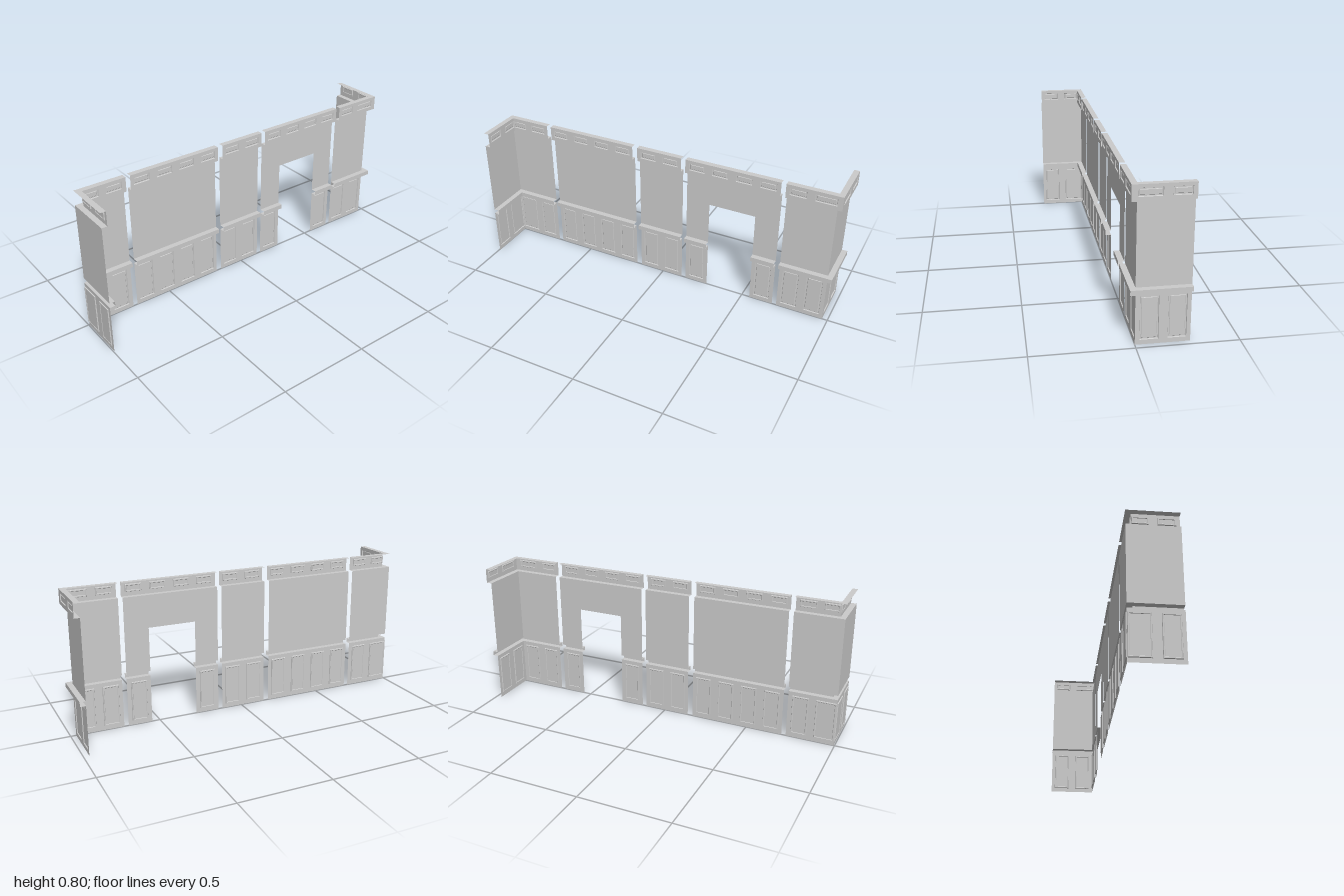
import * as THREE from 'three';

const mat = new THREE.MeshStandardMaterial({ color: 0xcccccc, side: THREE.DoubleSide, flatShading: true });
const DEPTH = 0.03; // projection of chair rail and cornice
const DADO = 0.27, RAIL = 0.295, CORNICE = 0.72, TOP = 0.8;
const DADO_PANEL = [0.024, 0.248], CORNICE_PANEL = [0.742, 0.783];

function add(parent, geo, name, z = 0) {
  const mesh = new THREE.Mesh(geo, mat);
  mesh.name = name;
  mesh.position.z = z;
  parent.add(mesh);
}

const corners = (a, b, y0, y1) =>
  [[a, y0], [b, y0], [b, y1], [a, y1]].map(([x, y]) => new THREE.Vector2(x, y));

// Sunken panel: rectangular rings stepping into a groove and up to the field
function panelGeometry([a, b], [y0, y1]) {
  const steps = [[0, 0], [0.002, -0.005], [0.007, -0.005], [0.009, -0.003]];
  const pos = [], idx = [];
  for (const [inset, z] of steps) {
    for (const p of corners(a + inset, b - inset, y0 + inset, y1 - inset)) pos.push(p.x, p.y, z);
  }
  for (let s = 0; s < steps.length - 1; s++) {
    for (let k = 0; k < 4; k++) {
      const p = s * 4 + k, q = s * 4 + (k + 1) % 4;
      idx.push(p, q, q + 4, p, q + 4, p + 4);
    }
  }
  const f = (steps.length - 1) * 4;
  idx.push(f, f + 1, f + 2, f, f + 2, f + 3);
  const geo = new THREE.BufferGeometry();
  geo.setAttribute('position', new THREE.Float32BufferAttribute(pos, 3));
  geo.setIndex(idx);
  const flat = geo.toNonIndexed();
  flat.computeVertexNormals();
  return flat;
}

// Flat strip pierced by sunken panels
function panelledStrip(parent, name, a, b, y0, y1, panels, py, z) {
  const shape = new THREE.Shape(corners(a, b, y0, y1));
  for (const p of panels) {
    shape.holes.push(new THREE.Path(corners(p[0], p[1], py[0], py[1]).reverse()));
    add(parent, panelGeometry(p, py), name + 'Panel', z);
  }
  add(parent, new THREE.ShapeGeometry(shape), name, z);
}

// Horizontal ledge from the wall line out to the moulding face, mitred at corners
function ledge(parent, name, inner, outer, y, up) {
  const shape = new THREE.Shape([
    new THREE.Vector2(inner[0], 0), new THREE.Vector2(inner[1], 0),
    new THREE.Vector2(outer[1], -DEPTH), new THREE.Vector2(outer[0], -DEPTH)]);
  const geo = new THREE.ShapeGeometry(shape).rotateX(-Math.PI / 2);
  if (!up) {
    const ix = geo.index;
    for (let i = 0; i < ix.count; i += 3) {
      const t = ix.getX(i);
      ix.setX(i, ix.getX(i + 2));
      ix.setX(i + 2, t);
    }
    geo.computeVertexNormals();
  }
  geo.translate(0, y, 0);
  add(parent, geo, name);
}

// Channel moulding: face plus top and bottom ledges, open at the back
function moulding(parent, name, inner, outer, y0, y1, panels = []) {
  panelledStrip(parent, name, outer[0], outer[1], y0, y1, panels, CORNICE_PANEL, DEPTH);
  ledge(parent, name + 'Underside', inner, outer, y0, false);
  ledge(parent, name + 'Top', inner, outer, y1, true);
}

// One wall section; door = [left, right, height] cuts an opening
function wall(name, span, { outer = span, dado, cornice, door }) {
  const g = new THREE.Group();
  g.name = name;
  const [a, b] = span;
  const pieces = door
    ? [[[a, door[0]], [outer[0], door[0]]], [[door[1], b], [door[1], outer[1]]]]
    : [[span, outer]];
  for (const [inn, out] of pieces) {
    const own = dado.filter(p => p[0] >= inn[0] && p[1] <= inn[1]);
    panelledStrip(g, 'dado', inn[0], inn[1], 0, DADO, own, DADO_PANEL, 0);
    moulding(g, 'chairRail', inn, out, DADO, RAIL);
  }
  const outline = corners(a, b, RAIL, CORNICE);
  if (door) {
    const [l, r, h] = door;
    outline.splice(1, 0, ...[[l, RAIL], [l, h], [r, h], [r, RAIL]].map(p => new THREE.Vector2(...p)));
  }
  add(g, new THREE.ShapeGeometry(new THREE.Shape(outline)), 'upperWall');
  moulding(g, 'cornice', span, outer, CORNICE, TOP, cornice);
  return g;
}

// Evenly spaced panels of the standard width
const row = (first, n) =>
  Array.from({ length: n }, (_, i) => [first + i * 0.1335 - 0.045, first + i * 0.1335 + 0.045]);

export function createModel() {
  const model = new THREE.Group();
  model.name = 'panelledWalls';

  // Straight run
  model.add(
    wall('insideCornerWall', [-0.995, -0.73], {
      outer: [-0.965, -0.73],
      dado: [[-0.993, -0.882], ...row(-0.798, 1)],
      cornice: [[-0.963, -0.88], ...row(-0.798, 1)],
    }),
    wall('longWall', [-0.705, -0.175], { dado: row(-0.64, 4), cornice: row(-0.64, 4) }),
    wall('shortWall', [-0.145, 0.12], { dado: row(-0.079, 2), cornice: row(-0.079, 2) }),
    wall('doorwayWall', [0.145, 0.68], {
      dado: [...row(0.212, 1), ...row(0.612, 1)], cornice: row(0.212, 4), door: [0.28, 0.545, 0.54],
    }),
    wall('outsideCornerWall', [0.705, 0.97], {
      outer: [0.705, 1],
      dado: row(0.77, 2),
      cornice: [...row(0.77, 1), [0.858, 0.972]],
    }),
  );

  // Returns, turned to face +x
  const leftReturn = wall('insideCornerReturn', [-0.265, 0], {
    outer: [-0.265, -0.03],
    dado: [...row(-0.202, 1), [-0.113, -0.002]],
    cornice: [...row(-0.202, 1), [-0.115, -0.032]],
  });
  leftReturn.position.x = -0.995;
  const rightReturn = wall('outsideCornerReturn', [0, 0.265], {
    outer: [-0.03, 0.265],
    dado: row(0.067, 2),
    cornice: [[-0.001, 0.113], ...row(0.2005, 1)],
  });
  rightReturn.position.x = 0.97;
  for (const r of [leftReturn, rightReturn]) {
    r.rotation.y = Math.PI / 2;
    model.add(r);
  }
  return model;
}
